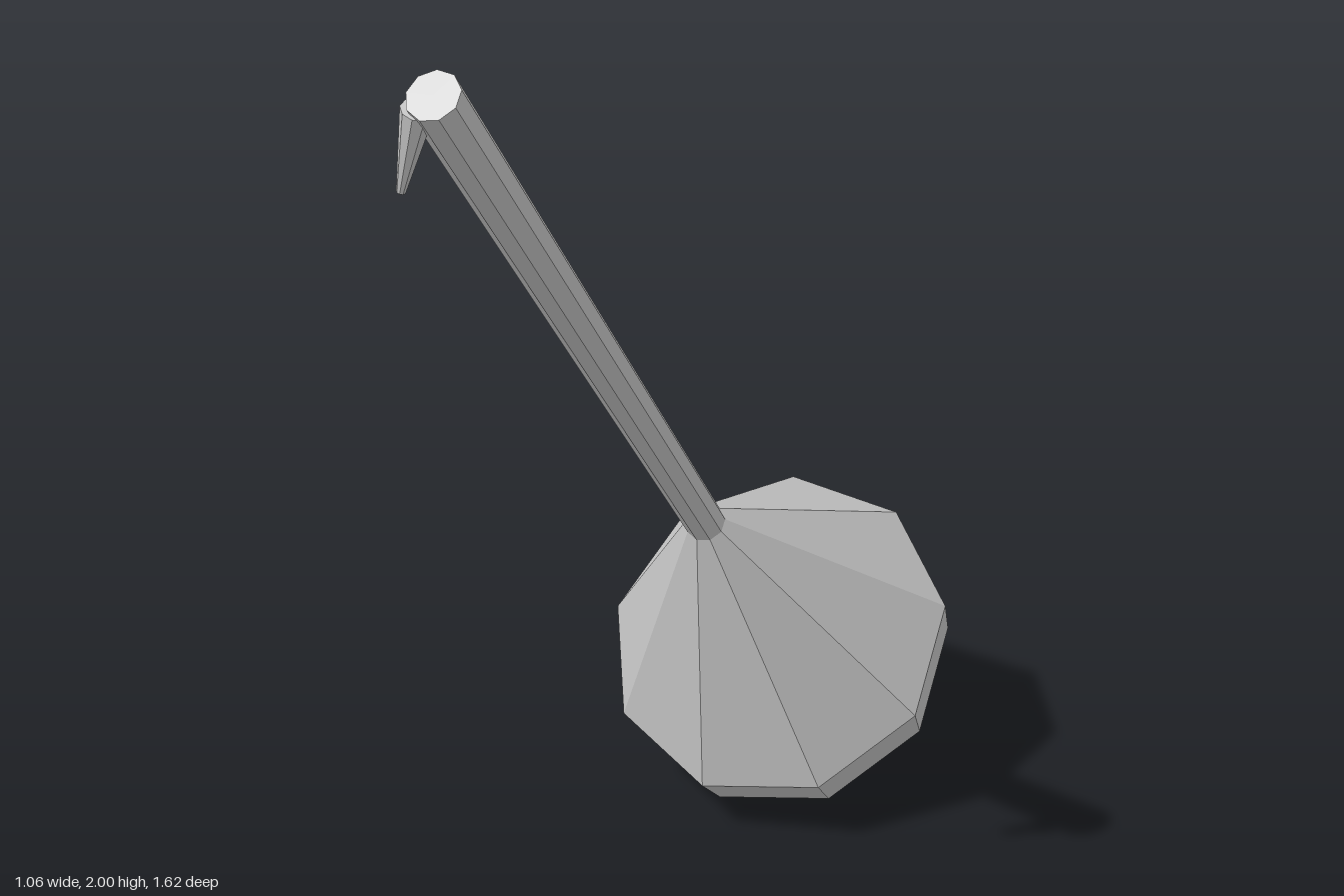
import * as THREE from 'three';

const SIDES = 9;
const BOWL_R = 0.345, NECK = 0.55, TIP = 2.153;

export function createModel() {
  const group = new THREE.Group();
  const mat = new THREE.MeshStandardMaterial({ color: 0xcccccc, flatShading: true, side: THREE.DoubleSide });
  const add = (name, geo, parent) => {
    const mesh = new THREE.Mesh(geo, mat);
    mesh.name = name;
    parent.add(mesh);
    return mesh;
  };
  const lathe = (pts) => new THREE.LatheGeometry(pts.map(([r, y]) => new THREE.Vector2(r, y)), SIDES);

  // Tilted frame: origin at the bowl centre, local y along the stem
  const axis = new THREE.Vector3(0.318, 0.755, 0.574).normalize();
  const front = new THREE.Vector3(-0.135, -0.145, 0.275);
  front.addScaledVector(axis, -front.dot(axis)).normalize();
  const side = new THREE.Vector3().crossVectors(axis, front);
  const body = new THREE.Group();
  body.name = 'tiltedBody';
  body.quaternion.setFromRotationMatrix(new THREE.Matrix4().makeBasis(side, axis, front));
  body.position.set(-0.197, 0.347, -0.466);
  group.add(body);

  // Bowl: half sphere in five bands, then a straight cone up to the neck
  const bowl = [];
  for (let i = 0; i <= 5; i++) {
    const a = (i / 5) * Math.PI / 2;
    bowl.push([BOWL_R * Math.sin(a), -BOWL_R * Math.cos(a)]);
  }
  bowl.push([0.038, NECK]);
  add('bowl', lathe(bowl), body);

  // Stem: slightly flaring rod, closed at the tip
  add('stem', lathe([[0.038, NECK], [0.046, TIP], [0, TIP]]), body);

  // Hook: small tapered spike hanging from the tip
  const from = new THREE.Vector3(0.463, 1.945, 0.782);
  const to = new THREE.Vector3(0.402, 1.79, 0.777);
  const dir = from.clone().sub(to);
  const hook = add('hook', new THREE.CylinderGeometry(0.028, 0.008, dir.length(), SIDES), group);
  hook.position.copy(from).add(to).multiplyScalar(0.5);
  hook.quaternion.setFromUnitVectors(new THREE.Vector3(0, 1, 0), dir.normalize());

  return group;
}
